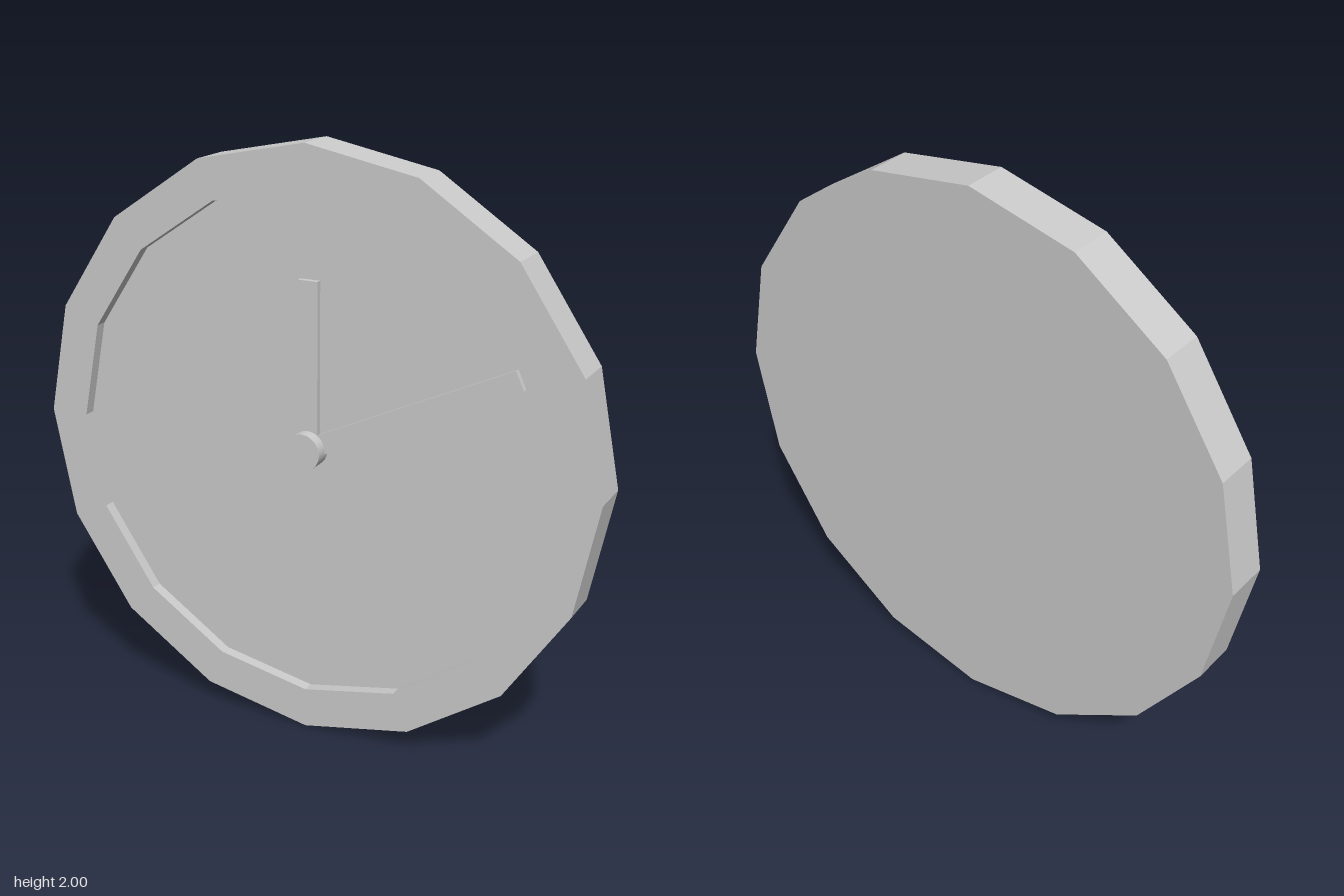
import * as THREE from 'three';

export function createModel() {
  const clock = new THREE.Group();
  clock.name = 'wallClock';

  const flat = new THREE.MeshStandardMaterial({ color: 0xcccccc, flatShading: true });
  const smooth = new THREE.MeshStandardMaterial({ color: 0xcccccc });

  const SIDES = 16;
  const BACK = -0.085, DIAL = 0.025, RIM = 0.065, FRONT = 0.085;
  const DIAL_RADIUS = 0.86;
  const PIVOT_Y = 1.008;

  const add = (name, geometry, material, x, y, z) => {
    const mesh = new THREE.Mesh(geometry, material);
    mesh.name = name;
    mesh.position.set(x, y, z);
    clock.add(mesh);
    return mesh;
  };

  // Case: back, outer wall, front rim and the inner wall of the recess
  const profile = [
    [0, BACK], [1, BACK], [1, RIM], [DIAL_RADIUS, RIM], [DIAL_RADIUS, DIAL],
  ].map(([r, z]) => new THREE.Vector2(r, z));
  add('case', new THREE.LatheGeometry(profile, SIDES).rotateX(Math.PI / 2), flat, 0, 1, 0);

  // Recessed dial
  add('dial', new THREE.CircleGeometry(DIAL_RADIUS, SIDES), flat, 0, 1, DIAL);

  // Hands: bars from the pivot outward, turned clockwise from twelve
  const addHand = (name, length, width, degrees) => {
    const depth = 0.02;
    const bar = new THREE.BoxGeometry(width, length, depth).translate(0, length / 2, depth / 2);
    add(name, bar, flat, 0, PIVOT_Y, DIAL).rotation.z = -THREE.MathUtils.degToRad(degrees);
  };
  addHand('hourHand', 0.56, 0.07, 0);
  addHand('minuteHand', 0.79, 0.066, 65);

  // Hub over the base of the hands
  const hubDepth = FRONT - DIAL;
  const hub = new THREE.CylinderGeometry(0.062, 0.062, hubDepth, 32).rotateX(Math.PI / 2);
  add('hub', hub, smooth, 0, PIVOT_Y, DIAL + hubDepth / 2);

  return clock;
}
